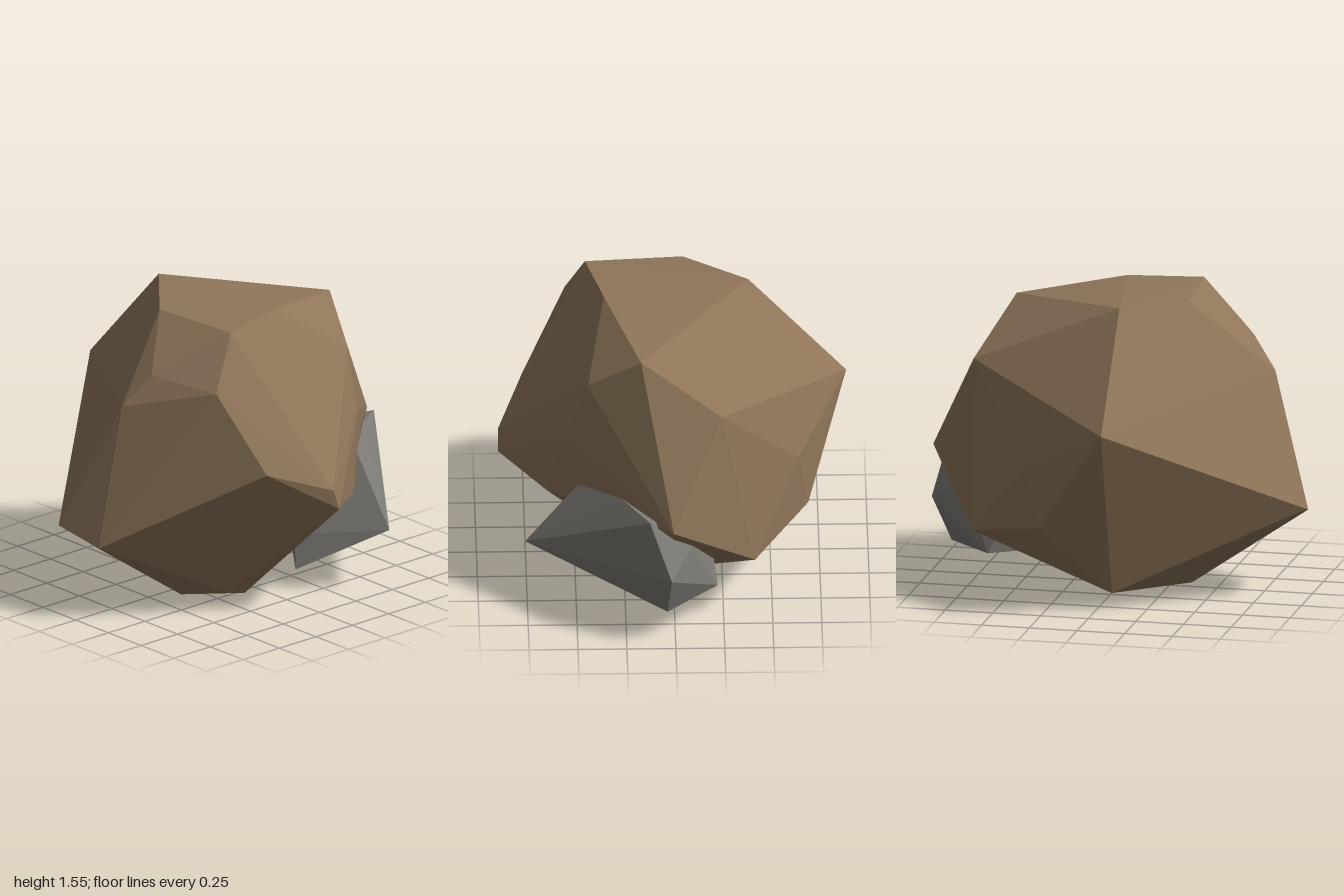
import * as THREE from 'three';
import { ConvexGeometry } from 'three/addons/geometries/ConvexGeometry.js';

// A faceted stone: the convex hull of a few corner points
function stone(name, corners, material) {
  const points = corners.map(([x, y, z]) => new THREE.Vector3(x, y, z));
  const mesh = new THREE.Mesh(new ConvexGeometry(points), material);
  mesh.name = name;
  return mesh;
}

export function createModel() {
  const brownStone = new THREE.MeshStandardMaterial({ color: 0x8f765a });
  brownStone.name = 'brownStone';
  const greyStone = new THREE.MeshStandardMaterial({ color: 0x7d7b75 });
  greyStone.name = 'greyStone';

  const group = new THREE.Group();
  group.name = 'rocks';

  group.add(stone('boulder', [
    // crown
    [0.59, 1.45, 0.17], [0.05, 1.53, 0.35], [-0.08, 1.55, -0.39],
    [-0.33, 1.52, 0.44], [-0.37, 1.52, -0.06],
    // shoulders
    [0.72, 1.2, -0.24], [0.47, 1.25, 0.44], [-0.52, 1.26, 0.54],
    [-0.65, 1.3, 0.19], [-0.78, 1.14, 0.11], [-0.1, 1.0, -0.89],
    // waist
    [0.99, 0.67, 0.01], [0.44, 0.94, 0.55], [0.32, 0.55, 0.65],
    [0.01, 0.6, 0.89], [-0.03, 0.71, 0.89], [-0.37, 0.84, 0.76],
    [-0.95, 0.41, 0.12], [-1, 0.48, -0.13], [0.36, 0.75, -0.64],
    [0.28, 0.44, -0.69], [0.69, 0.34, -0.41],
    // foot
    [-0.35, 0, 0.08], [-0.3, 0.09, 0.4], [-0.2, 0.06, 0.4],
    [0.28, 0.06, 0], [-0.07, 0.08, -0.52],
  ], brownStone));

  group.add(stone('smallStone', [
    // top edge
    [0.49, 0.68, 0.49], [0.73, 0.73, 0.27], [0.93, 0.7, 0.13], [0.9, 0.69, 0.1],
    // sides
    [0.47, 0.335, 0.76], [1, 0.39, 0.02], [0.8, 0.49, -0.09],
    [0.59, 0.3, -0.2], [0.35, 0.51, 0.42], [0.18, 0.27, 0.36],
    // underside
    [0.9, 0.16, 0.04], [0.15, 0.1, 0.4], [0.65, 0.17, -0.22],
  ], greyStone));

  return group;
}
